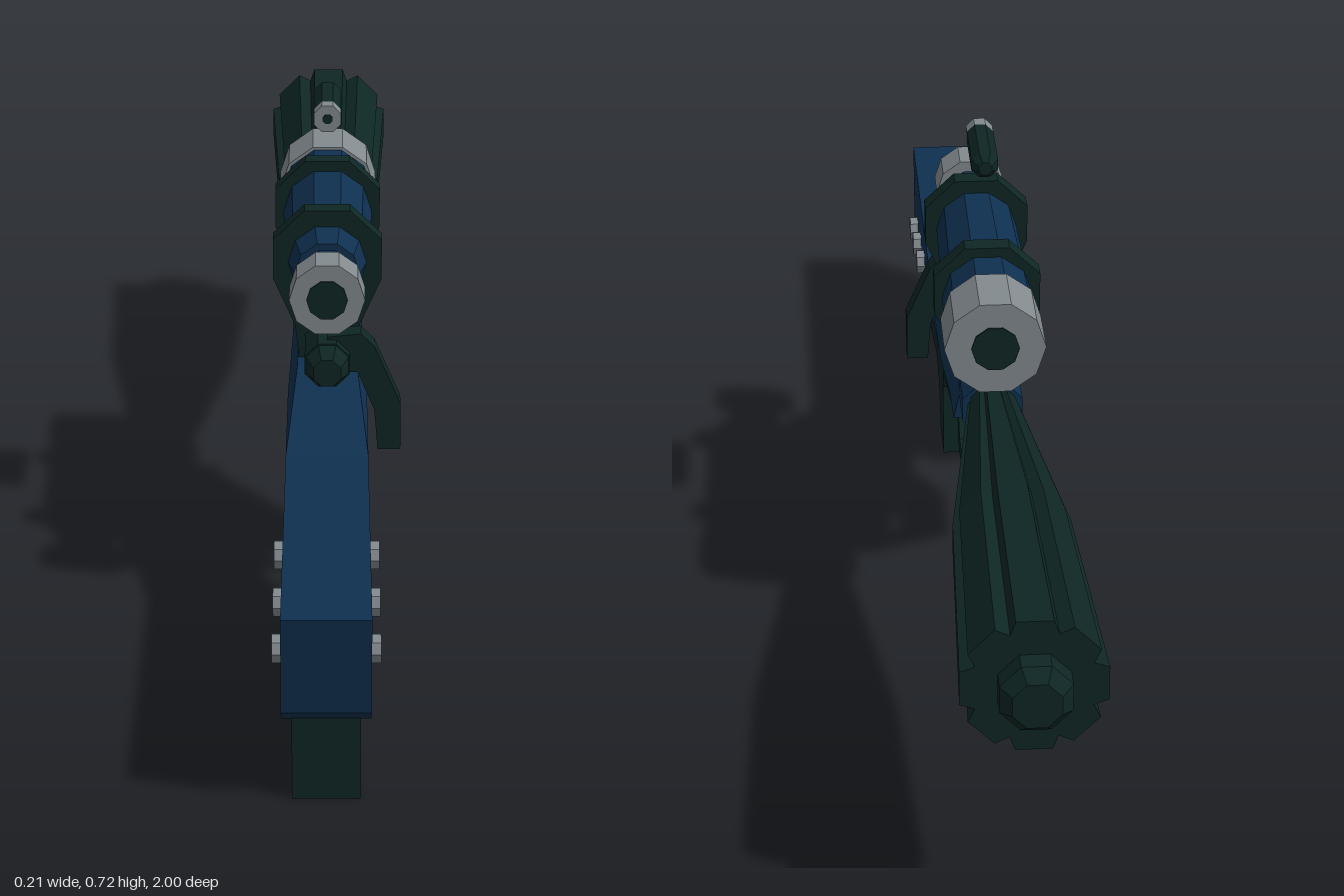
import * as THREE from 'three';

const mat = (name, color) => {
  const m = new THREE.MeshStandardMaterial({ color });
  m.name = name;
  return m;
};

export function createModel() {
  const blue = mat('navy blue', 0x0f3050);
  const dark = mat('dark green', 0x0e2624);
  const grey = mat('light grey', 0x828a8e);
  const body = new THREE.Group();
  body.name = 'rifle';
  body.position.x = -0.005;

  function add(name, geometry, material) {
    const g = geometry.index ? geometry.toNonIndexed() : geometry;
    g.computeVertexNormals();
    const mesh = new THREE.Mesh(g, material);
    mesh.name = name;
    body.add(mesh);
    return mesh;
  }
  const path = (pts) => pts.map(([a, b]) => new THREE.Vector2(a, b));

  // Side profile given as (z, y), extruded to a width centred on x
  function profile(pts, width, holes = []) {
    const shape = new THREE.Shape(path(pts));
    for (const h of holes) shape.holes.push(new THREE.Path(path(h)));
    const g = new THREE.ExtrudeGeometry(shape, { depth: width, bevelEnabled: false });
    return g.translate(0, 0, -width / 2).rotateY(-Math.PI / 2);
  }

  // Front profile given as (x, y), extruded along z
  function plate(pts, z, depth) {
    const g = new THREE.ExtrudeGeometry(new THREE.Shape(path(pts)), { depth, bevelEnabled: false });
    return g.translate(0, 0, z - depth / 2);
  }

  // Faceted tube along z, from z0 (front) back to z1
  function tube(r0, r1, z0, z1, y, sides = 10) {
    const g = new THREE.CylinderGeometry(r0, r1, z0 - z1, sides);
    g.rotateY(Math.PI / sides);
    if (sides === 10) g.rotateY(0);
    return g.rotateX(Math.PI / 2).translate(0, y, (z0 + z1) / 2);
  }

  // Blue stock: straight lower block and tapered upper block
  add('stock', profile([
    [1, 0.283], [0.98, 0.14], [0.955, 0.12], [0.92, 0.135], [0.58, 0.24], [0.41, 0.245],
    [0.25, 0.275], [0.18, 0.283],
  ], 0.12), blue);
  const upper = profile([
    [0.433, 0.283], [0.18, 0.283], [0, 0.308], [-0.09, 0.312], [-0.09, 0.355], [0.25, 0.355],
  ], 0.12);
  const p = upper.attributes.position;
  for (let i = 0; i < p.count; i++) p.setX(i, p.getX(i) * (1 - 3.6 * (p.getY(i) - 0.283)));
  add('upperStock', upper, blue);

  // Dark lower stock with grip and thumb opening
  add('lowerStock', profile([
    [0.957, 0.002], [0.52, 0.107], [0.46, 0.09], [0.41, 0.02], [0.326, 0.02], [0.337, 0.14],
    [0.31, 0.187], [0.17, 0.215], [0, 0.27], [-0.05, 0.29], [-0.05, 0.31], [0, 0.315],
    [0.2, 0.29], [0.41, 0.255], [0.58, 0.25], [0.92, 0.15], [0.957, 0.14],
  ], 0.092, [[[0.56, 0.165], [0.46, 0.158], [0.41, 0.19], [0.42, 0.232], [0.5, 0.236], [0.56, 0.21]]]), dark);

  // Trigger guard and trigger
  add('triggerGuard', profile([
    [-0.085, 0.32], [-0.085, 0.29], [0.035, 0.115], [0.17, 0.115], [0.245, 0.21], [0.2, 0.24], [0, 0.32],
  ], 0.06, [[[-0.05, 0.285], [0.05, 0.142], [0.15, 0.142], [0.2, 0.2], [0.1, 0.235], [0, 0.285]]]), dark);
  add('trigger', profile([[0.13, 0.23], [0.18, 0.168], [0.165, 0.165], [0.08, 0.22], [0.08, 0.24]], 0.025), dark);

  // Receiver and bolt
  add('receiver', tube(0.036, 0.036, 0.31, -0.1, 0.377, 8), dark);
  add('boltCap', tube(0.022, 0.034, 0.345, 0.31, 0.377, 8), dark);
  add('boltHandle', plate([
    [0, 0.36], [0, 0.415], [0.05, 0.42], [0.07, 0.4], [0.109, 0.31], [0.109, 0.237], [0.075, 0.237],
    [0.07, 0.3], [0.045, 0.36],
  ], 0.275, 0.036), dark);
  add('barrelCollar', tube(0.049, 0.049, -0.085, -0.175, 0.37, 8), blue);

  // Flared barrel: eight flat ribs with grooves between them
  const rings = [[-0.16, 0.036], [-0.2, 0.042], [-0.56, 0.087], [-0.95, 0.103]].map(([z, r]) => {
    const ring = [];
    for (let k = 0; k < 8; k++) {
      const a = (k * Math.PI) / 4;
      for (const [da, s] of [[-0.25, 1], [0.25, 1], [Math.PI / 8, 0.83]]) {
        ring.push([Math.cos(a + da) * r * s, 0.373 + Math.sin(a + da) * r * s, z]);
      }
    }
    return ring;
  });
  const verts = [];
  const tri = (...c) => c.forEach((v) => verts.push(...v));
  for (let i = 0; i < 24; i++) {
    const j = (i + 1) % 24;
    for (let s = 0; s < 3; s++) {
      const [a, b, c, d] = [rings[s][i], rings[s][j], rings[s + 1][j], rings[s + 1][i]];
      tri(a, d, c);
      tri(a, c, b);
    }
    tri([0, 0.373, -0.16], rings[0][i], rings[0][j]);
    tri([0, 0.373, -0.95], rings[3][j], rings[3][i]);
  }
  const barrel = new THREE.BufferGeometry();
  barrel.setAttribute('position', new THREE.Float32BufferAttribute(verts, 3));
  add('barrel', barrel, dark);
  add('muzzle', tube(0.053, 0.053, -0.94, -0.98, 0.373, 8), dark);
  add('muzzleTip', tube(0.053, 0.036, -0.98, -1, 0.373, 8), dark);

  // Scope
  const sy = 0.505;
  add('eyepiece', tube(0.055, 0.055, 0.383, 0.322, sy), grey);
  add('eyepieceLens', tube(0.03, 0.03, 0.386, 0.382, sy), dark);
  add('scopeNeck', tube(0.037, 0.037, 0.325, 0.262, sy), blue);
  add('scopeCone', tube(0.048, 0.062, 0.265, 0.2, sy), blue);
  add('scopeTube', tube(0.063, 0.071, 0.2, -0.135, sy), blue);
  add('objective', tube(0.076, 0.076, -0.132, -0.235, sy), grey);
  add('objectiveLens', tube(0.036, 0.036, -0.234, -0.238, sy), dark);

  // Octagonal scope mounts tapering down to the receiver
  const half = [[0.034, 0.586], [0.081, 0.541], [0.081, 0.48], [0.048, 0.405], [0.042, 0.35]];
  const mount = [...half, ...half.map(([x, y]) => [-x, y]).reverse()];
  for (const z of [0.2, -0.045]) add('scopeMount', plate(mount, z, 0.032), dark);

  // Studs through the stock
  for (const [z, y] of [[0.87, 0.182], [0.765, 0.202], [0.65, 0.222]]) {
    const g = new THREE.CylinderGeometry(0.021, 0.021, 0.147, 8).rotateZ(Math.PI / 2);
    add('stud', g.translate(0, y, z), grey);
  }

  // Floating cartridge
  const cy = 0.7;
  add('cartridgeBase', tube(0.022, 0.022, 0.124, 0.1, cy, 8), grey);
  add('cartridgePrimer', tube(0.008, 0.008, 0.126, 0.122, cy, 8), dark);
  add('cartridgeCase', tube(0.022, 0.022, 0.1, -0.005, cy, 8), dark);
  add('cartridgeTip', tube(0.022, 0.011, -0.005, -0.021, cy, 8), dark);

  const model = new THREE.Group();
  model.name = 'scopedRifle';
  model.add(body);
  return model;
}
